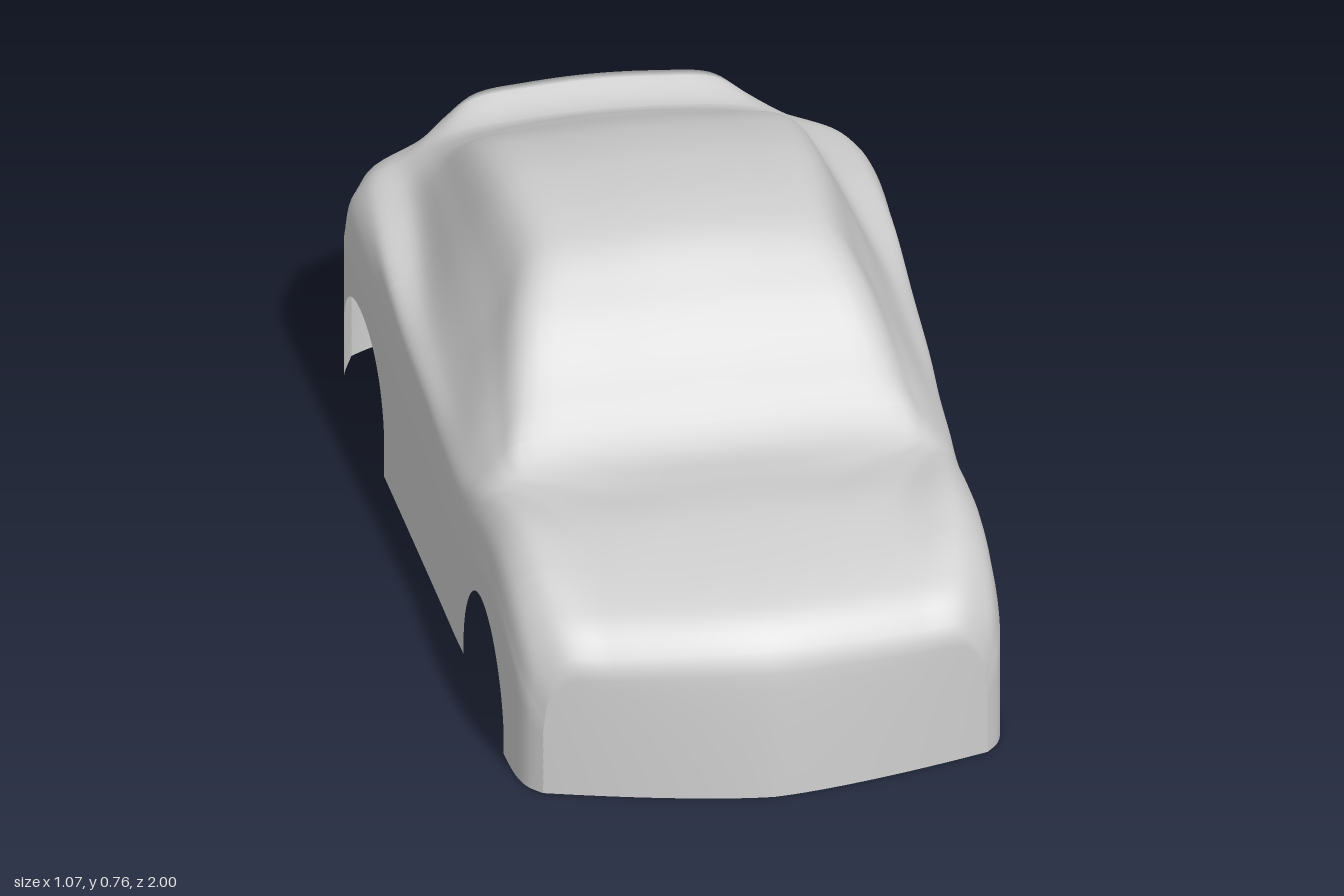
import * as THREE from 'three';
import { mergeVertices } from 'three/addons/utils/BufferGeometryUtils.js';

// Key sections, back to front:
// z, side width, shoulder x, y, cabin base x, y, roof edge x, y, centre height
const KEYS = [
  [-0.90, 0.50, 0.46, 0.42, 0.35, 0.46, 0.24, 0.545, 0.565],
  [-0.82, 0.53, 0.475, 0.46, 0.41, 0.475, 0.30, 0.515, 0.535],
  [-0.72, 0.537, 0.49, 0.475, 0.42, 0.485, 0.31, 0.565, 0.60],
  [-0.60, 0.535, 0.50, 0.475, 0.43, 0.49, 0.315, 0.645, 0.67],
  [-0.45, 0.527, 0.51, 0.455, 0.445, 0.48, 0.315, 0.705, 0.73],
  [-0.25, 0.52, 0.51, 0.42, 0.46, 0.465, 0.31, 0.74, 0.765],
  [-0.03, 0.513, 0.505, 0.40, 0.465, 0.45, 0.30, 0.725, 0.75],
  [0.10, 0.509, 0.50, 0.38, 0.465, 0.44, 0.335, 0.655, 0.67],
  [0.25, 0.505, 0.495, 0.37, 0.465, 0.42, 0.37, 0.535, 0.545],
  [0.37, 0.50, 0.475, 0.40, 0.44, 0.43, 0.39, 0.45, 0.455],
  [0.45, 0.50, 0.45, 0.43, 0.39, 0.435, 0.27, 0.435, 0.447],
  [0.60, 0.50, 0.43, 0.45, 0.33, 0.436, 0.20, 0.445, 0.45],
  [0.72, 0.498, 0.425, 0.425, 0.32, 0.415, 0.20, 0.42, 0.425],
  [0.82, 0.49, 0.42, 0.37, 0.32, 0.375, 0.20, 0.38, 0.385],
  [0.87, 0.475, 0.41, 0.33, 0.32, 0.335, 0.20, 0.34, 0.345],
  [0.90, 0.45, 0.40, 0.285, 0.32, 0.29, 0.20, 0.295, 0.30],
];
const ARCHES = [{ z: -0.615, y: 0.075, r: 0.205 }, { z: 0.525, y: 0.035, r: 0.205 }];
const SILL = 0.01, WALL = 6, TOP = 36, CAP = 12;
const lerp = THREE.MathUtils.lerp, smooth = THREE.MathUtils.smoothstep;

// Smooth interpolation of one column of the key sections
function keyed(z, c) {
  let i = 0;
  while (i < KEYS.length - 2 && z > KEYS[i + 1][0]) i++;
  const slope = (k) => {
    const a = KEYS[Math.max(0, k - 1)], b = KEYS[Math.min(KEYS.length - 1, k + 1)];
    return (b[c] - a[c]) / (b[0] - a[0]);
  };
  const a = KEYS[i], b = KEYS[i + 1], h = b[0] - a[0], t = (z - a[0]) / h;
  const t2 = t * t, t3 = t2 * t;
  return (2 * t3 - 3 * t2 + 1) * a[c] + (t3 - 2 * t2 + t) * h * slope(i)
    + (3 * t2 - 2 * t3) * b[c] + (t3 - t2) * h * slope(i + 1);
}

// How far the ends bow out across the width, 1 at the centre and 0 at the sides
const bow = (x, front) => front
  ? 1 - Math.min(1, Math.abs(x) / 0.45) ** 1.4
  : 1 - Math.min(1, Math.abs(x) / 0.5) ** 4;

// One full section from the left sill over the roof to the right sill
function section(z, bottom) {
  const [w, sx, sy, gx, gy, ex, ey, cy] = [1, 2, 3, 4, 5, 6, 7, 8].map((c) => keyed(z, c));
  const wallTop = sy - 0.13;
  const half = [];
  for (let i = 0; i < WALL; i++) half.push([w, lerp(bottom, wallTop, i / WALL)]);
  const curve = new THREE.CatmullRomCurve3([
    [w, wallTop], [lerp(w, sx, 0.28), sy - 0.045], [sx, sy], [gx, gy],
    [(gx + ex) / 2 + 0.004, (gy + ey) / 2], [ex, ey],
    [ex * 0.55, lerp(cy, ey, 0.3)], [0, cy], [-ex * 0.55, lerp(cy, ey, 0.3)],
  ].map(([x, y]) => new THREE.Vector3(x, y, 0)));
  for (let i = 0; i <= TOP; i++) {
    const p = curve.getPoint((i / TOP) * (7 / 8));
    half.push([i === TOP ? 0 : p.x, p.y]);
  }
  const full = half.concat(half.slice(0, -1).reverse().map(([x, y]) => [-x, y]));
  return full.map(([x, y]) => [x, y, z
    + 0.07 * smooth(z, 0.5, 0.9) * bow(x, true)
    - 0.07 * smooth(-z, 0.6, 0.9) * bow(x, false)]);
}

// Stations along the length, closer together over the wheel arches
function stations() {
  const list = [];
  const run = (a, b, n) => {
    for (let i = 0; i <= n; i++) list.push([lerp(a, b, i / n), SILL]);
  };
  let from = -0.9;
  for (const { z, y, r } of ARCHES) {
    run(from, z - r, Math.ceil((z - r - from) / 0.015));
    for (let i = 0; i <= 32; i++) {
      const a = Math.PI * (1 - i / 32);
      list.push([z + r * Math.cos(a), y + r * Math.sin(a)]);
    }
    from = z + r;
  }
  run(from, 0.9, 14);
  return list;
}

// Rows that carry an end section down to the sill as a bowed end wall
function endWall(edge, front) {
  const rows = [];
  for (let k = 1; k <= CAP; k++) {
    const t = k / CAP;
    const out = front ? 0.03 * t ** 0.6 : -0.03 * Math.sin(Math.PI * 0.85 * t ** 0.7);
    rows.push(edge.map(([x, y, z]) => [x, lerp(y, SILL, t), z + out * bow(x, front)]));
  }
  return rows;
}

function shellGeometry() {
  const body = stations().map(([z, bottom]) => section(z, bottom));
  const rows = [
    ...endWall(body[0], false).reverse(),
    ...body,
    ...endWall(body[body.length - 1], true),
  ];
  const n = rows[0].length, index = [];
  for (let r = 0; r < rows.length - 1; r++) {
    for (let j = 0; j < n - 1; j++) {
      const a = r * n + j, b = a + 1, c = a + n, d = c + 1;
      index.push(a, b, c, b, d, c);
    }
  }
  const geometry = new THREE.BufferGeometry();
  geometry.setAttribute('position', new THREE.Float32BufferAttribute(rows.flat(2), 3));
  geometry.setIndex(index);
  const merged = mergeVertices(geometry, 1e-4);
  merged.computeVertexNormals();
  return merged;
}

export function createModel() {
  const paint = new THREE.MeshStandardMaterial({ color: 0xcccccc, side: THREE.DoubleSide });
  paint.name = 'light grey';
  const shell = new THREE.Mesh(shellGeometry(), paint);
  shell.name = 'bodyShell';
  const model = new THREE.Group();
  model.name = 'carBody';
  model.add(shell);
  return model;
}
